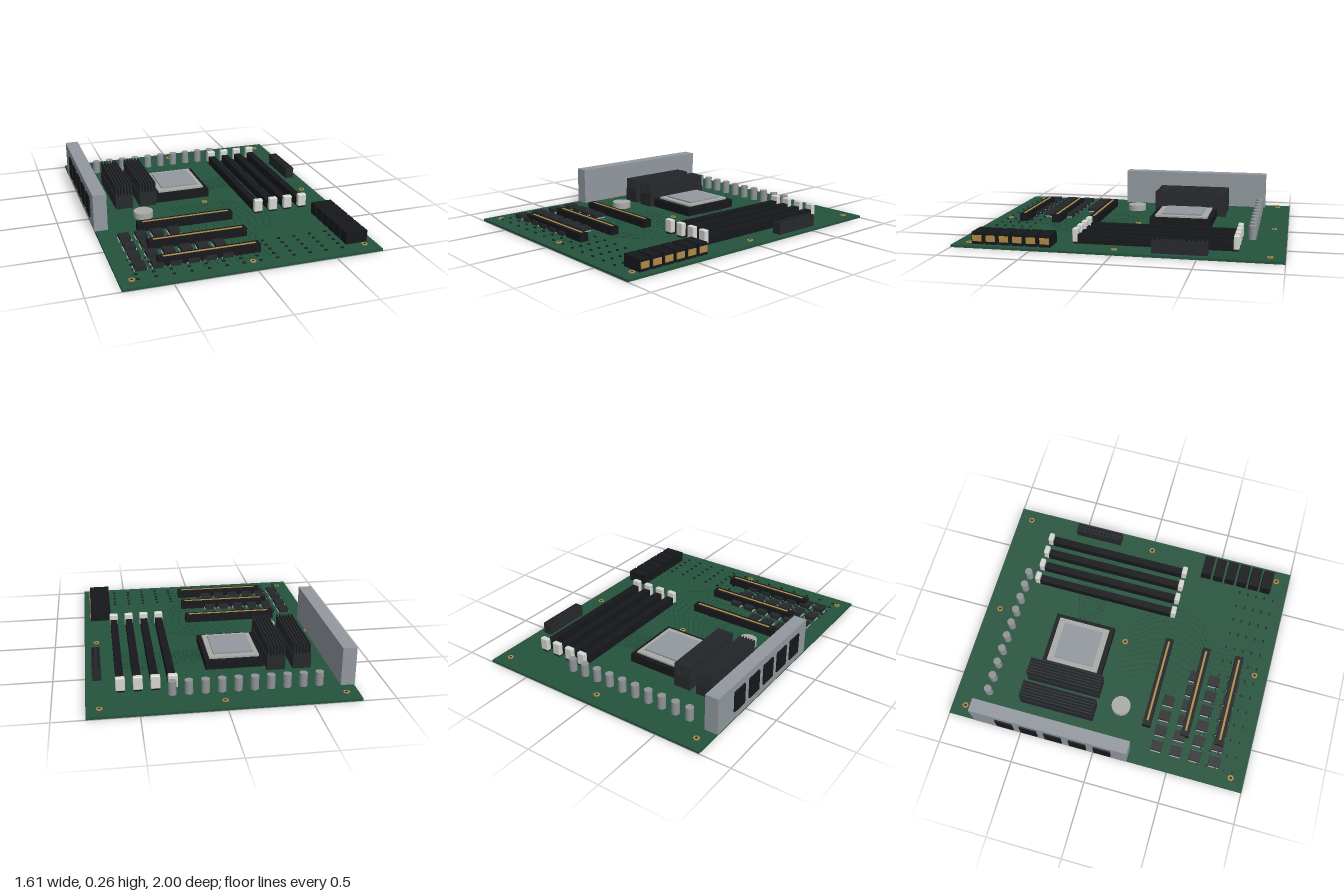
import * as THREE from 'three';
import { mergeGeometries } from 'three/addons/utils/BufferGeometryUtils.js';
import { RoundedBoxGeometry } from 'three/addons/geometries/RoundedBoxGeometry.js';

const TOP = 0.015; // upper face of the board

const paint = (color) => new THREE.MeshStandardMaterial({ color });
const green = paint(0x24533d);
const darkGreen = paint(0x16352a);
const black = paint(0x15181b);
const charcoal = paint(0x26292c);
const dark = paint(0x1c1e20);
const silver = paint(0x9399a0);
const pale = paint(0xa8aaa8);
const capGrey = paint(0x8f9396);
const gold = paint(0xb08a45);
const white = paint(0xd4d6d0);

function add(parent, name, geometry, material, x = 0, y = 0, z = 0) {
  const mesh = new THREE.Mesh(geometry, material);
  mesh.name = name;
  mesh.position.set(x, y, z);
  parent.add(mesh);
  return mesh;
}

// Box given by its limits on each axis
function block(parent, name, material, x0, x1, y0, y1, z0, z1) {
  return add(parent, name, new THREE.BoxGeometry(x1 - x0, y1 - y0, z1 - z0), material,
    (x0 + x1) / 2, (y0 + y1) / 2, (z0 + z1) / 2);
}

function section(root, name) {
  const group = new THREE.Group();
  group.name = name;
  root.add(group);
  return group;
}

// Dashed copper lines lying on the board, along a curve in x and z
function dashes(points, spacing) {
  const curve = new THREE.CatmullRomCurve3(points.map(([x, z]) => new THREE.Vector3(x, TOP, z)));
  const count = Math.round(curve.getLength() / spacing);
  const list = [];
  for (let i = 0; i <= count; i++) {
    const p = curve.getPointAt(i / count);
    const t = curve.getTangentAt(i / count);
    const dash = new THREE.BoxGeometry(0.004, 0.002, 0.009);
    dash.rotateY(Math.atan2(t.x, t.z));
    dash.translate(p.x, p.y, p.z);
    list.push(dash);
  }
  return list;
}

export function createModel() {
  const root = new THREE.Group();
  root.name = 'circuitBoard';

  block(root, 'board', green, -0.795, 0.805, 0, TOP, -1, 1);

  // Mounting holes with gold rims
  const holes = section(root, 'mountingHoles');
  for (const x of [-0.72, 0.003, 0.727]) {
    for (const z of [-0.912, 0, 0.912]) {
      const ring = add(holes, 'holeRim', new THREE.RingGeometry(0.009, 0.019, 20), gold, x, TOP + 0.006, z);
      ring.rotation.x = -Math.PI / 2;
      add(holes, 'holeWall', new THREE.CylinderGeometry(0.019, 0.019, 0.006, 20, 1, true), gold, x, TOP + 0.003, z);
      add(holes, 'hole', new THREE.CylinderGeometry(0.009, 0.009, 0.002, 16), dark, x, TOP + 0.001, z);
    }
  }

  // Rear port housing, ports facing -x
  const ports = section(root, 'portPanel');
  block(ports, 'portHousing', silver, -0.8, -0.713, TOP, 0.258, -0.82, 0.23);
  for (let i = 0; i < 5; i++) {
    const z = -0.593 + i * 0.165;
    block(ports, 'port', black, -0.809, -0.795, 0.07, 0.208, z - 0.057, z + 0.057);
  }

  // Finned heat sinks
  for (const x of [-0.54, -0.376]) {
    const sink = section(root, 'heatSink');
    block(sink, 'sinkBase', charcoal, x - 0.058, x + 0.058, TOP, 0.103, -0.56, -0.06);
    for (let i = 0; i < 6; i++) {
      const fx = x + (i - 2.5) * 0.0198;
      block(sink, 'fin', charcoal, fx - 0.004, fx + 0.004, 0.103, 0.178, -0.56, -0.06);
    }
  }

  // Processor in its socket
  const cpu = section(root, 'processor');
  block(cpu, 'socket', black, -0.31, 0.06, TOP, 0.072, -0.502, -0.088);
  block(cpu, 'heatSpreader', pale, -0.285, 0.032, 0.07, 0.084, -0.472, -0.12);
  block(cpu, 'spreaderTop', silver, -0.255, 0, 0.084, 0.094, -0.43, -0.16);

  // Memory slots with end clips
  for (let i = 0; i < 4; i++) {
    const x = 0.287 + i * 0.104;
    const slot = section(root, 'memorySlot');
    block(slot, 'slotBody', black, x - 0.024, x + 0.024, TOP, 0.072, -0.7, 0.255);
    for (const z of [-0.713, 0.268]) {
      add(slot, 'slotClip', new RoundedBoxGeometry(0.058, 0.085, 0.035, 2, 0.007), white, x, 0.066, z);
      block(slot, 'clipFoot', black, x - 0.024, x + 0.024, TOP, 0.028, z - 0.014, z + 0.014);
    }
  }

  // Row of capacitors and the round cell
  const caps = section(root, 'capacitors');
  for (let i = 0; i < 10; i++) {
    add(caps, 'capacitor', new THREE.CylinderGeometry(0.0255, 0.0255, 0.086, 20), capGrey, -0.588 + i * 0.0985, TOP + 0.043, -0.787);
  }
  add(root, 'coinCell', new THREE.CylinderGeometry(0.063, 0.063, 0.04, 32), pale, -0.45, TOP + 0.02, 0.097);

  // Expansion slots with gold contacts
  for (const z of [0.294, 0.555, 0.785]) {
    const slot = section(root, 'expansionSlot');
    block(slot, 'slotBody', black, -0.54, 0.09, TOP, 0.068, z - 0.028, z + 0.028);
    block(slot, 'contactStrip', gold, -0.505, 0.066, 0.066, 0.071, z - 0.007, z + 0.007);
  }

  // Small chips with leads on both sides
  const chips = section(root, 'chips');
  [[0.395, 4], [0.525, 6], [0.655, 6], [0.785, 6]].forEach(([z, count]) => {
    for (let i = 0; i < count; i++) {
      const x = -0.645 + i * 0.1055;
      block(chips, 'chip', charcoal, x - 0.034, x + 0.034, TOP, 0.043, z - 0.038, z + 0.038);
      for (const s of [-1, 1]) {
        block(chips, 'chipLeads', pale, x + s * 0.037 - 0.003, x + s * 0.037 + 0.003, TOP, 0.021, z - 0.034, z + 0.034);
      }
    }
  });

  // Power connector with two columns of sockets
  const power = section(root, 'powerConnector');
  block(power, 'connectorBody', charcoal, 0.706, 0.763, TOP, 0.091, -0.557, -0.23);
  for (let i = 0; i < 12; i++) {
    for (const x of [0.721, 0.748]) {
      const z = -0.54 + i * 0.0267;
      block(power, 'socketHole', black, x - 0.007, x + 0.007, 0.088, 0.093, z - 0.007, z + 0.007);
    }
  }

  // Drive connectors with gold contacts facing +x
  for (let i = 0; i < 6; i++) {
    const z = 0.42 + i * 0.0853;
    const drive = section(root, 'driveConnector');
    block(drive, 'connectorBody', black, 0.618, 0.758, TOP, 0.09, z - 0.035, z + 0.035);
    block(drive, 'contact', gold, 0.755, 0.763, 0.034, 0.072, z - 0.029, z + 0.029);
  }

  // Tiny surface parts in rows along the front
  const bits = [];
  for (let r = 0; r < 5; r++) {
    for (let c = 0; c < 13; c++) {
      const bit = new THREE.BoxGeometry(0.018, 0.008, 0.009);
      bit.translate(-0.685 + c * 0.105, TOP + 0.004, 0.68 + r * 0.059);
      bits.push(bit);
    }
  }
  add(root, 'surfaceParts', mergeGeometries(bits), dark);

  // Traces from processor to memory, and down to the expansion slots
  const lines = [];
  for (let i = 0; i < 12; i++) {
    const k = i / 11;
    lines.push(...dashes([[0.07, -0.36 + 0.16 * k], [0.2, -0.39 + 0.18 * k], [0.4, -0.45 + 0.25 * k], [0.6, -0.4 + 0.2 * k]], 0.02));
    lines.push(...dashes([[-0.25 + 0.4 * k, 0.02], [-0.2 + 0.52 * k, 0.22], [-0.22 + 0.52 * k, 0.45], [-0.3 + 0.44 * k, 0.6], [-0.28 + 0.45 * k, 0.88]], 0.02));
  }
  add(root, 'traces', mergeGeometries(lines), darkGreen);

  return root;
}
